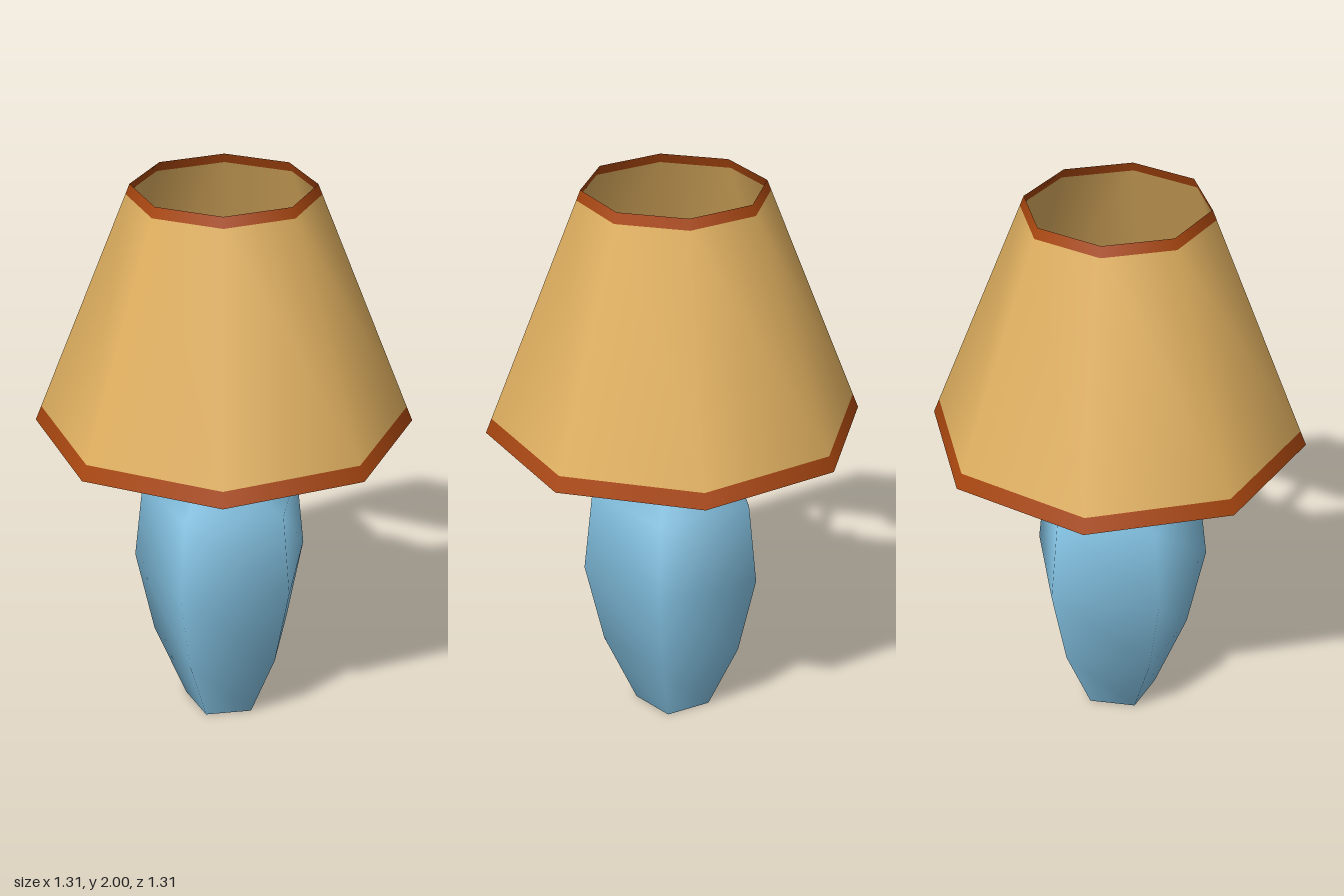
import * as THREE from 'three';

const paint = (name, color, side = THREE.FrontSide) => {
  const m = new THREE.MeshStandardMaterial({ color, side });
  m.name = name;
  return m;
};

export function createModel() {
  const lamp = new THREE.Group();
  lamp.name = 'tableLamp';

  const blue = paint('blueCeramic', 0x82c0e0);
  const tan = paint('tanFabric', 0xe0b060, THREE.DoubleSide);
  const rust = paint('rustTrim', 0xa8460f, THREE.DoubleSide);
  const brown = paint('darkBrownMetal', 0x4a2612);
  const cream = paint('creamGlass', 0xece0b4);

  const add = (name, geometry, material) => {
    const mesh = new THREE.Mesh(geometry, material);
    mesh.name = name;
    lamp.add(mesh);
    return mesh;
  };

  // Turned part with few sides, one corner pointing to +x; profile runs upward
  const turned = (profile, sides) => new THREE.LatheGeometry(
    profile.map(([r, y]) => new THREE.Vector2(r, y)), sides, Math.PI / 2);

  // Five-sided vase body and neck
  add('body', turned([
    [0.142, 0], [0.259, 0.27], [0.325, 0.575], [0.292, 0.87],
    [0.117, 1.02], [0.075, 1.32],
  ], 5), blue);
  add('bodyBottom', new THREE.CircleGeometry(0.142, 5).rotateX(Math.PI / 2), blue);
  add('neckTop', new THREE.CircleGeometry(0.075, 5).rotateX(-Math.PI / 2).translate(0, 1.32, 0), blue);

  // Bulb
  add('bulb', turned([
    [0.07, 1.32], [0.125, 1.47], [0.105, 1.57], [0, 1.62],
  ], 5), cream);

  // Crossed arms that carry the shade
  for (let i = 0; i < 2; i++) {
    const arm = add('shadeArm', new THREE.BoxGeometry(1.06, 0.01, 0.048), brown);
    arm.position.y = 1.315;
    arm.rotation.y = -0.344 + i * Math.PI / 2;
  }

  // Eight-sided open shade with trim bands at both rims
  const radiusAt = y => THREE.MathUtils.mapLinear(y, 1.14, 2, 0.653, 0.31);
  const section = (name, y0, y1, material) =>
    add(name, turned([[radiusAt(y0), y0], [radiusAt(y1), y1]], 8), material);
  section('lowerTrim', 1.14, 1.192, rust);
  section('shade', 1.192, 1.965, tan);
  section('upperTrim', 1.965, 2, rust);

  return lamp;
}
